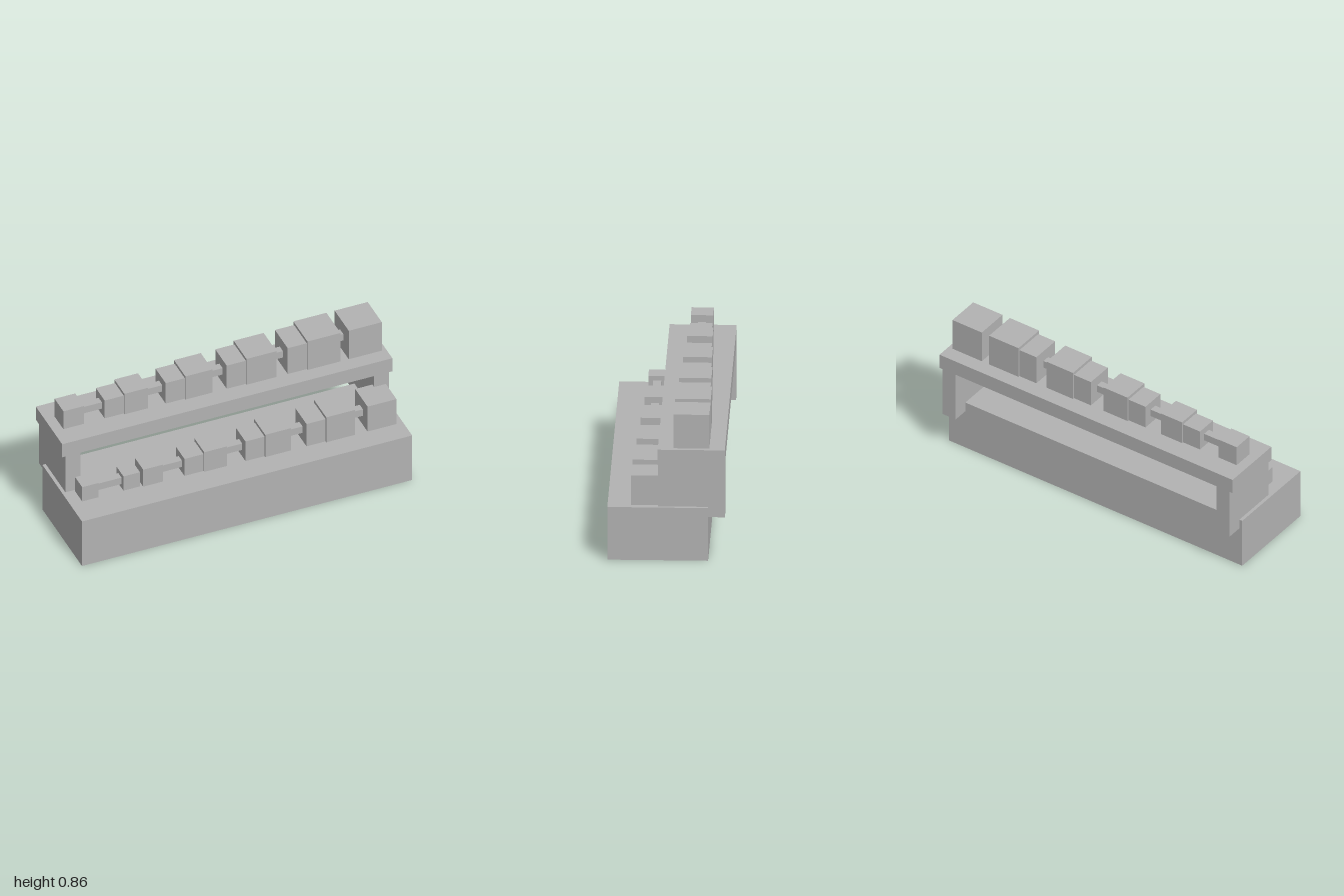
import * as THREE from 'three';

const steel = new THREE.MeshStandardMaterial({ color: 0xb2b2b2 });
steel.name = 'grey steel';

// Box placed by its min and max along each axis
function box(name, [x0, x1], [y0, y1], [z0, z1]) {
  const mesh = new THREE.Mesh(new THREE.BoxGeometry(x1 - x0, y1 - y0, z1 - z0), steel);
  mesh.position.set((x0 + x1) / 2, (y0 + y1) / 2, (z0 + z1) / 2);
  mesh.name = name;
  return mesh;
}

// Two cubic heads joined by a square handle, resting on y = 0
function dumbbell(size) {
  const group = new THREE.Group();
  group.name = 'dumbbell';
  const h = size / 2;
  for (const side of [-1, 1]) {
    const c = side * 0.125;
    group.add(box('weightHead', [c - h, c + h], [0, size], [-h, h]));
  }
  const t = 0.0225;
  group.add(box('handle', [-0.125 + h, 0.125 - h], [h - t, h + t], [-t, t]));
  return group;
}

// Five dumbbells growing towards +x
function dumbbellRow(name, y, z, smallest) {
  const row = new THREE.Group();
  row.name = name;
  for (let i = 0; i < 5; i++) {
    const bell = dumbbell(smallest + i * 0.0188);
    bell.position.x = -0.752 + i * 0.375;
    row.add(bell);
  }
  row.position.set(0, y, z);
  return row;
}

export function createModel() {
  const model = new THREE.Group();
  model.name = 'dumbbellRack';
  const depth = [-0.327, 0.047];

  // Rack: solid base, two end supports and the raised shelf
  model.add(box('base', [-1, 1], [0, 0.313], [-0.234, 0.328]));
  model.add(box('rightSupport', [-0.98, -0.89], [0.252, 0.565], depth));
  model.add(box('leftSupport', [0.89, 0.98], [0.252, 0.565], depth));
  model.add(box('upperShelf', [-1, 1], [0.565, 0.657], depth));

  // Weights
  model.add(dumbbellRow('lowerDumbbells', 0.313, 0.11, 0.1));
  model.add(dumbbellRow('upperDumbbells', 0.657, -0.14, 0.125));
  return model;
}
